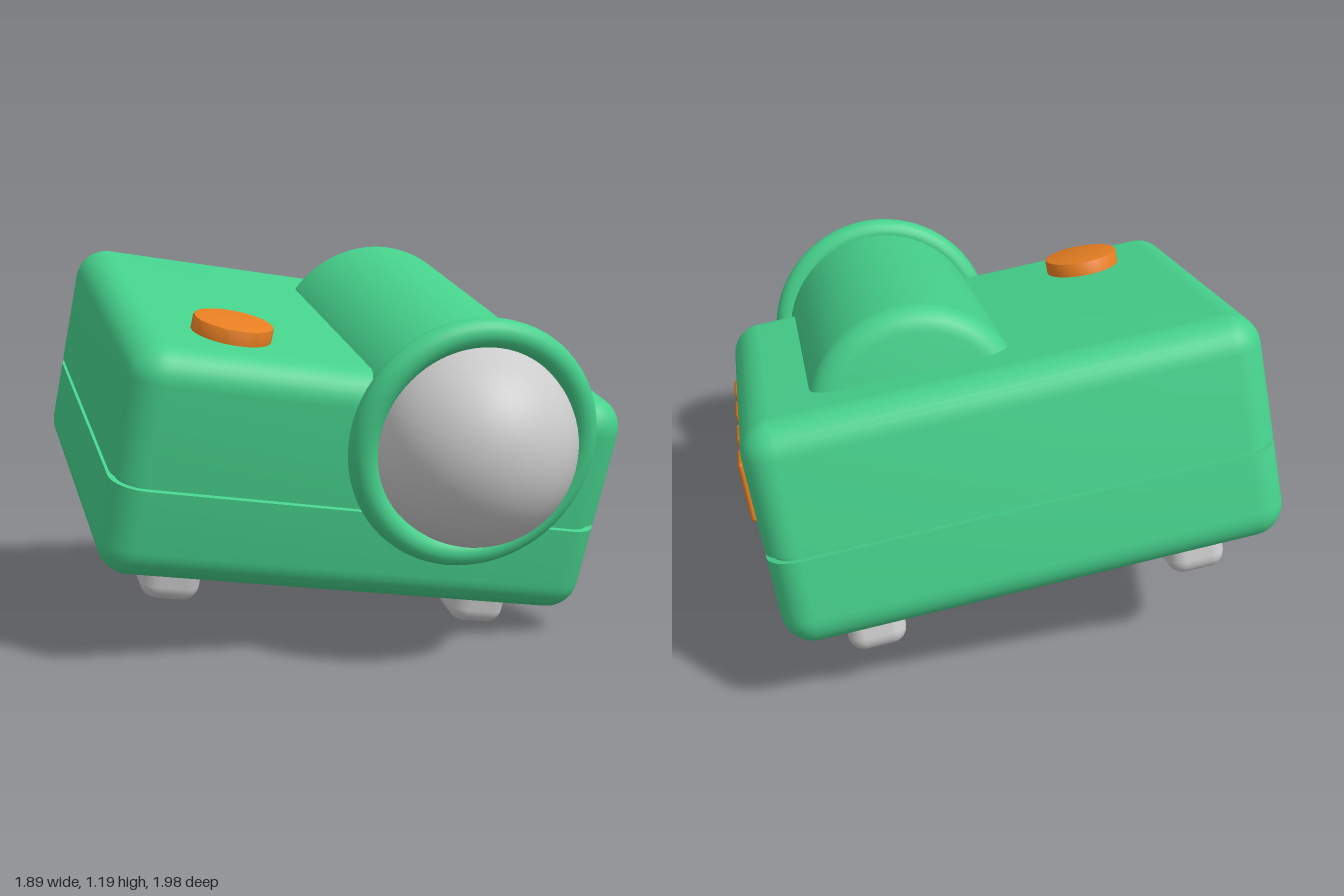
import * as THREE from 'three';
import { toCreasedNormals } from 'three/addons/utils/BufferGeometryUtils.js';
import { RoundedBoxGeometry } from 'three/addons/geometries/RoundedBoxGeometry.js';

const green = new THREE.MeshStandardMaterial({ color: 0x46d18c });
const orange = new THREE.MeshStandardMaterial({ color: 0xe67e22 });
const grey = new THREE.MeshStandardMaterial({ color: 0xcccccc });

const HALF_W = 0.77, HALF_H = 0.35, HALF_D = 0.62, R = 0.1;

// Rounded-rectangle rings stacked along y, each [height, inset]
function loftBody(profile) {
  const n = 8, pos = [], index = [];
  for (const [y, inset] of profile) {
    const r = Math.max(R - inset, 0.0015);
    for (let c = 0; c < 4; c++) {
      const cx = (c === 0 || c === 3 ? 1 : -1) * (HALF_W - R);
      const cz = (c < 2 ? 1 : -1) * (HALF_D - R);
      for (let i = 0; i <= n; i++) {
        const a = (c + i / n) * Math.PI / 2;
        pos.push(cx + r * Math.cos(a), y, cz + r * Math.sin(a));
      }
    }
  }
  const m = 4 * (n + 1), last = (profile.length - 1) * m;
  for (let k = 0; k < profile.length - 1; k++) {
    for (let i = 0; i < m; i++) {
      const a = k * m + i, b = k * m + (i + 1) % m;
      index.push(a, a + m, b, b, a + m, b + m);
    }
  }
  for (let i = 1; i < m - 1; i++) {
    index.push(0, i, i + 1, last, last + i + 1, last + i);
  }
  const g = new THREE.BufferGeometry();
  g.setAttribute('position', new THREE.Float32BufferAttribute(pos, 3));
  g.setIndex(index);
  return toCreasedNormals(g, 0.6);
}

export function createModel() {
  const model = new THREE.Group();
  model.name = 'camera';
  const add = (name, geometry, material, x, y, z) => {
    const mesh = new THREE.Mesh(geometry, material);
    mesh.name = name;
    mesh.position.set(x, y, z);
    model.add(mesh);
    return mesh;
  };

  // Body with rounded edges and a thin seam groove
  const profile = [], steps = 8;
  for (let i = 0; i <= steps; i++) {
    const a = i / steps * Math.PI / 2;
    profile.push([-HALF_H + R * (1 - Math.cos(a)), R * (1 - Math.sin(a))]);
  }
  const top = profile.map(([y, inset]) => [-y, inset]).reverse();
  profile.push([-0.06, 0], [-0.06, 0.02], [-0.043, 0.02], [-0.043, 0], ...top);
  add('body', loftBody(profile), green, 0, 0, 0);

  // Lens barrel lying in the top of the body, rounded at the back
  const lensX = 0.24, lensY = 0.209, lensZ = 0.69, barrelR = 0.332, fillet = 0.07, length = 1.1;
  const barrel = [new THREE.Vector2(0, 0)];
  for (let i = 0; i <= 6; i++) {
    const a = i / 6 * Math.PI / 2;
    barrel.push(new THREE.Vector2(barrelR - fillet + fillet * Math.sin(a), fillet * (1 - Math.cos(a))));
  }
  barrel.push(new THREE.Vector2(barrelR, length), new THREE.Vector2(0, length));
  const barrelGeo = toCreasedNormals(new THREE.LatheGeometry(barrel, 64), 0.6);
  barrelGeo.rotateX(Math.PI / 2);
  add('lensBarrel', barrelGeo, green, lensX, lensY, lensZ - length);
  add('lensRing', new THREE.TorusGeometry(0.338, 0.043, 20, 72), green, lensX, lensY, lensZ);
  add('lens', new THREE.SphereGeometry(0.3, 48, 32), grey, lensX, lensY, lensZ);

  // Button on the top, with a softened rim
  const button = [[0, 0], [0.12, 0], [0.12, 0.052], [0.117, 0.058], [0.11, 0.06], [0, 0.06]]
    .map(([x, y]) => new THREE.Vector2(x, y));
  add('button', toCreasedNormals(new THREE.LatheGeometry(button, 48), 0.5), orange, -0.444, 0.335, 0.343);

  // Row of panels on the left side
  for (let i = 0; i < 4; i++) {
    add('sidePanel', new RoundedBoxGeometry(0.05, 0.19, 0.14, 3, 0.012), orange,
      HALF_W - 0.003, 0.103, 0.39 - i * 0.245);
  }

  // Four feet
  for (const x of [-0.505, 0.505]) {
    for (const z of [-0.38, 0.38]) {
      add('foot', new RoundedBoxGeometry(0.18, 0.2, 0.18, 4, 0.05), grey, x, -0.37, z);
    }
  }

  // Turned to one side, then tipped forward
  model.rotation.set(THREE.MathUtils.degToRad(15), THREE.MathUtils.degToRad(-35), 0, 'XYZ');
  model.position.set(0, 0.625, -0.055);
  const root = new THREE.Group();
  root.name = 'model';
  root.add(model);
  return root;
}
